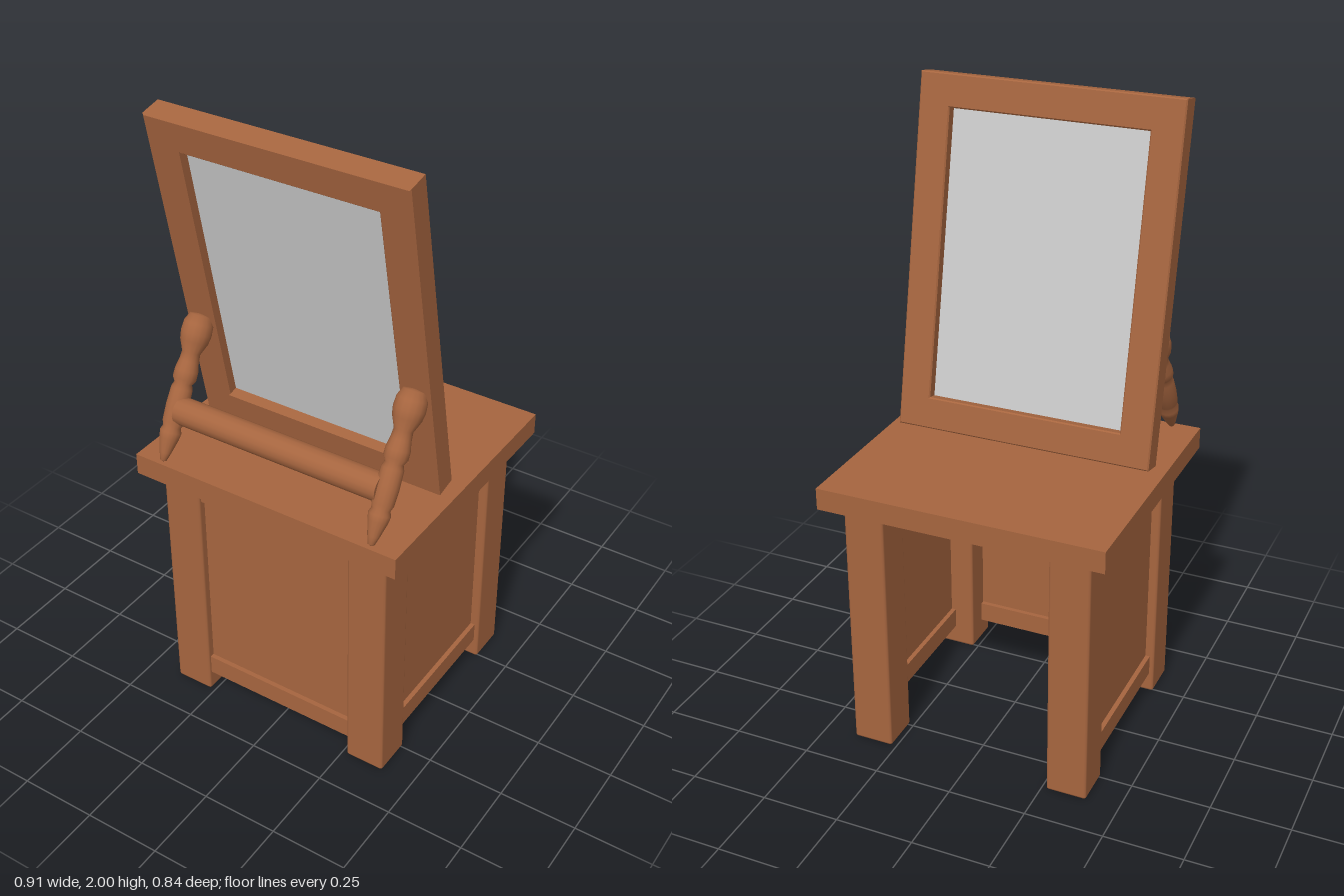
import * as THREE from 'three';
import { RoundedBoxGeometry } from 'three/addons/geometries/RoundedBoxGeometry.js';

const wood = new THREE.MeshStandardMaterial({ color: 0xa6653f });
const grey = new THREE.MeshStandardMaterial({ color: 0xcccccc });

function add(parent, name, geometry, x = 0, y = 0, z = 0, material = wood) {
  const mesh = new THREE.Mesh(geometry, material);
  mesh.name = name;
  mesh.position.set(x, y, z);
  parent.add(mesh);
  return mesh;
}

// Panelled side: thin board between an upper and a lower rail
function panelSide(name, width) {
  const side = new THREE.Group();
  side.name = name;
  add(side, 'panel', new THREE.BoxGeometry(width, 0.7, 0.02), 0, 0.455, 0);
  add(side, 'upperRail', new THREE.BoxGeometry(width, 0.07, 0.05), 0, 0.805, 0);
  add(side, 'lowerRail', new THREE.BoxGeometry(width, 0.067, 0.05), 0, 0.102, 0);
  return side;
}

function createStand() {
  const stand = new THREE.Group();
  stand.name = 'stand';
  add(stand, 'tableTop', new THREE.BoxGeometry(0.91, 0.07, 0.84), 0, 0.875, 0);
  for (const sx of [-1, 1]) {
    for (const sz of [-1, 1]) {
      const name = (sz > 0 ? 'front' : 'back') + (sx > 0 ? 'Left' : 'Right') + 'Leg';
      add(stand, name, new RoundedBoxGeometry(0.13, 0.85, 0.13, 1, 0.008), sx * 0.33, 0.425, sz * 0.305);
    }
    const side = panelSide(sx > 0 ? 'leftSide' : 'rightSide', 0.5);
    side.rotation.y = sx * Math.PI / 2;
    side.position.x = sx * 0.355;
    stand.add(side);
  }
  // The back stays open
  const front = panelSide('frontSide', 0.55);
  front.position.z = 0.335;
  stand.add(front);
  return stand;
}

function rectangle(PathType, halfW, halfH) {
  const p = new PathType();
  p.moveTo(-halfW, -halfH);
  p.lineTo(halfW, -halfH);
  p.lineTo(halfW, halfH);
  p.lineTo(-halfW, halfH);
  p.closePath();
  return p;
}

// Framed mirror leaning forward
function createMirror() {
  const mirror = new THREE.Group();
  mirror.name = 'mirror';
  const bevel = 0.004, depth = 0.076;
  const shape = rectangle(THREE.Shape, 0.415 - bevel, 0.545 - bevel);
  shape.holes.push(rectangle(THREE.Path, 0.315 + bevel, 0.445 + bevel));
  const frame = new THREE.ExtrudeGeometry(shape, {
    depth: depth - 2 * bevel, bevelEnabled: true, bevelSize: bevel, bevelThickness: bevel, bevelSegments: 1,
  });
  frame.translate(0, 0, -depth / 2 + bevel);
  add(mirror, 'frame', frame);
  add(mirror, 'glass', new THREE.BoxGeometry(0.64, 0.9, 0.01), 0, 0, 0, grey);
  mirror.position.set(0, 1.457, 0.18);
  mirror.rotation.x = 0.198;
  return mirror;
}

// Turned props joined by a round stretcher
function createSupport() {
  const support = new THREE.Group();
  support.name = 'support';
  const profile = [
    [0, -0.015], [0.01, -0.01], [0.018, 0.015], [0.03, 0.06], [0.033, 0.08], [0.027, 0.095],
    [0.033, 0.11], [0.035, 0.16], [0.033, 0.215], [0.027, 0.23], [0.036, 0.245], [0.036, 0.27],
    [0.03, 0.3], [0.028, 0.325], [0.043, 0.36], [0.047, 0.385], [0.045, 0.415], [0.033, 0.44], [0, 0.445],
  ].map(([r, y]) => new THREE.Vector2(r, y));
  const post = new THREE.LatheGeometry(profile, 16);
  for (const sx of [-1, 1]) {
    const mesh = add(support, sx > 0 ? 'leftPost' : 'rightPost', post, sx * 0.365, 0.923, 0.398);
    mesh.rotation.x = -0.505;
  }
  const bar = new THREE.CylinderGeometry(0.043, 0.043, 0.7, 16);
  bar.rotateZ(Math.PI / 2);
  add(support, 'stretcher', bar, 0, 1.055, 0.325);
  return support;
}

export function createModel() {
  const model = new THREE.Group();
  model.name = 'dressingTable';
  model.add(createStand(), createMirror(), createSupport());
  return model;
}
